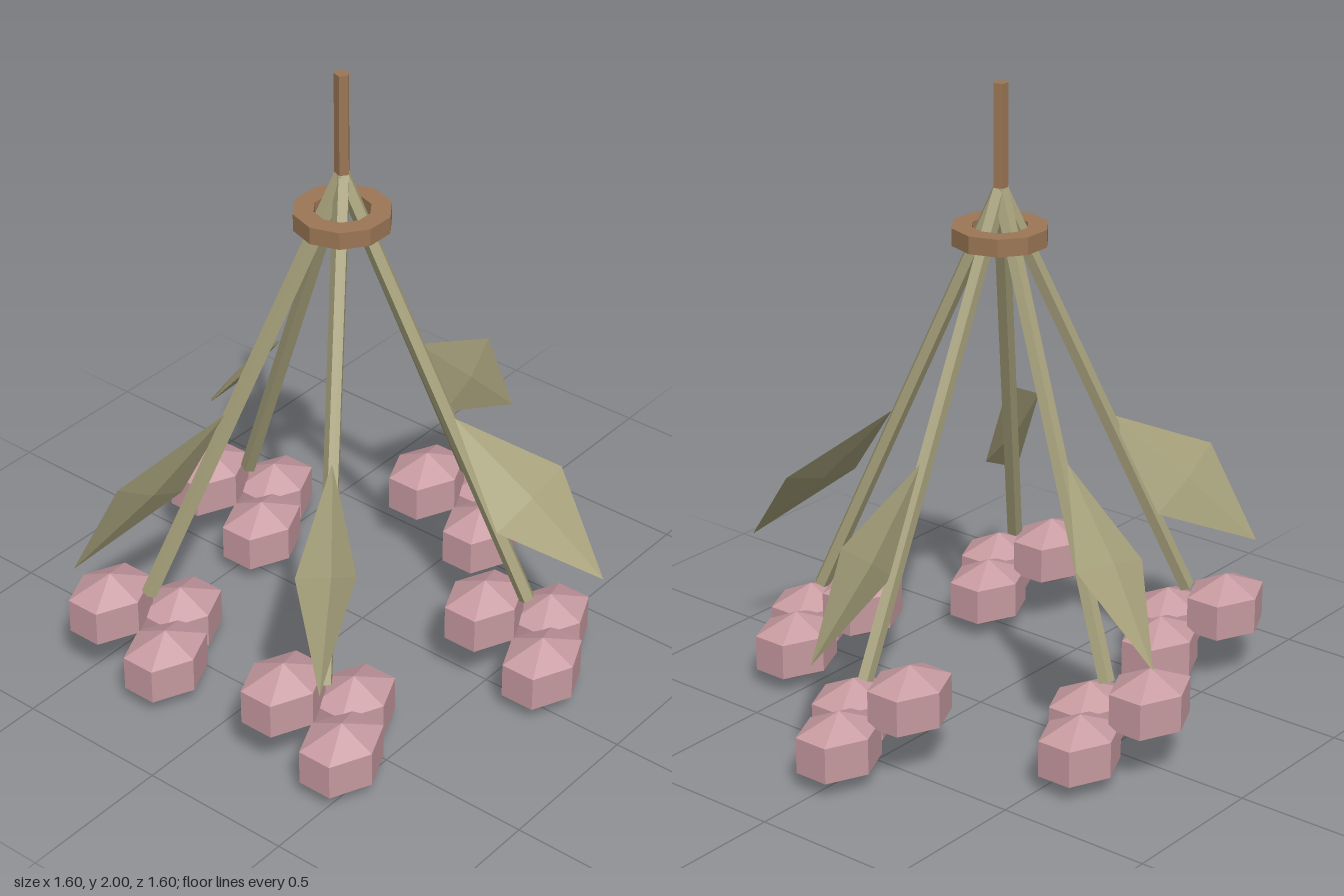
import * as THREE from 'three';

const flat = (name, color) => {
  const m = new THREE.MeshStandardMaterial({ color, flatShading: true });
  m.name = name;
  return m;
};

const AXIS_X = -0.0925; // the hanging rod sits off the middle

export function createModel() {
  const wood = flat('brown wood', 0x9b7655);
  const green = flat('olive green', 0xa8a27c);
  const pink = flat('dusty pink', 0xc69aa0);
  const model = new THREE.Group();

  const add = (name, geometry, material, parent = model) => {
    const mesh = new THREE.Mesh(geometry, material);
    mesh.name = name;
    parent.add(mesh);
    return mesh;
  };

  // Bar between two points
  const bar = (name, a, b, radius, sides, material, parent) => {
    const dir = b.clone().sub(a);
    const mesh = add(name, new THREE.CylinderGeometry(radius, radius, dir.length(), sides), material, parent);
    mesh.position.copy(a).add(b).multiplyScalar(0.5);
    mesh.quaternion.setFromUnitVectors(new THREE.Vector3(0, 1, 0), dir.normalize());
    return mesh;
  };

  // Hanging rod and the ring that gathers the stems
  bar('hangingRod', new THREE.Vector3(AXIS_X, 1.63, 0), new THREE.Vector3(AXIS_X, 2, 0), 0.024, 5, wood);
  const profile = [[0.0875, 1.505], [0.15, 1.505], [0.15, 1.56], [0.0875, 1.56], [0.0875, 1.505]];
  const ring = add('ring', new THREE.LatheGeometry(profile.map(p => new THREE.Vector2(...p)), 10), wood);
  ring.position.x = AXIS_X;
  ring.rotation.y = Math.PI / 2;

  // Six-sided berry, wider in x
  const berryGeo = new THREE.SphereGeometry(1, 6, 3);
  berryGeo.rotateY(Math.PI / 2);
  berryGeo.scale(0.17, 0.116, 0.133);

  // Leaf: a flattened octahedron through base, tip and two side corners
  const leaf = (base, tip, sideA, sideB, parent) => {
    const mid = base.clone().add(tip).multiplyScalar(0.5);
    const across = sideA.clone().sub(sideB).multiplyScalar(0.5);
    const along = base.clone().sub(tip).multiplyScalar(0.5);
    const normal = across.clone().cross(along).normalize().multiplyScalar(0.018);
    const geo = new THREE.OctahedronGeometry(1);
    geo.applyMatrix4(new THREE.Matrix4().makeBasis(across, along, normal).setPosition(mid));
    geo.computeVertexNormals();
    add('leaf', geo, green, parent);
  };

  // Leaf corners [x, y, z]: base, tip, side, side
  const leaves = [
    [[0.275, 0.91, 0], [0.787, 0.425, 0], [0.645, 0.77, 0], [0.42, 0.6, 0]],
    [[0.015, 0.91, 0.345], [0.183, 0.425, 0.797], [0.26, 0.71, 0.56], [-0.065, 0.64, 0.56]],
    [[-0.39, 0.91, 0.205], [-0.798, 0.425, 0.49], [-0.72, 0.755, 0.345], [-0.44, 0.6, 0.345]],
  ];

  // Five stems, each with a leaf and three berries
  for (let i = 0; i < 5; i++) {
    const branch = new THREE.Group();
    branch.name = 'branch';
    model.add(branch);
    const angle = (i * Math.PI * 2) / 5;
    const cx = AXIS_X + 0.632 * Math.cos(angle);
    const cz = 0.6 * Math.sin(angle);

    bar('stem', new THREE.Vector3(AXIS_X, 1.67, 0), new THREE.Vector3(cx + 0.01 * Math.cos(angle), 0.29, cz), 0.026, 5, green, branch);

    const mirror = i > 2 ? -1 : 1;
    const corners = leaves[i > 2 ? 5 - i : i].map(([x, y, z]) => new THREE.Vector3(x, y, z * mirror));
    leaf(...corners, branch);

    for (let k = 0; k < 3; k++) {
      const t = (k * Math.PI * 2) / 3;
      const berry = add('berry', berryGeo, pink, branch);
      berry.position.set(cx + 0.13 * Math.cos(t), k === 2 ? 0.23 : 0.117, cz + 0.13 * Math.sin(t));
    }
  }
  return model;
}
